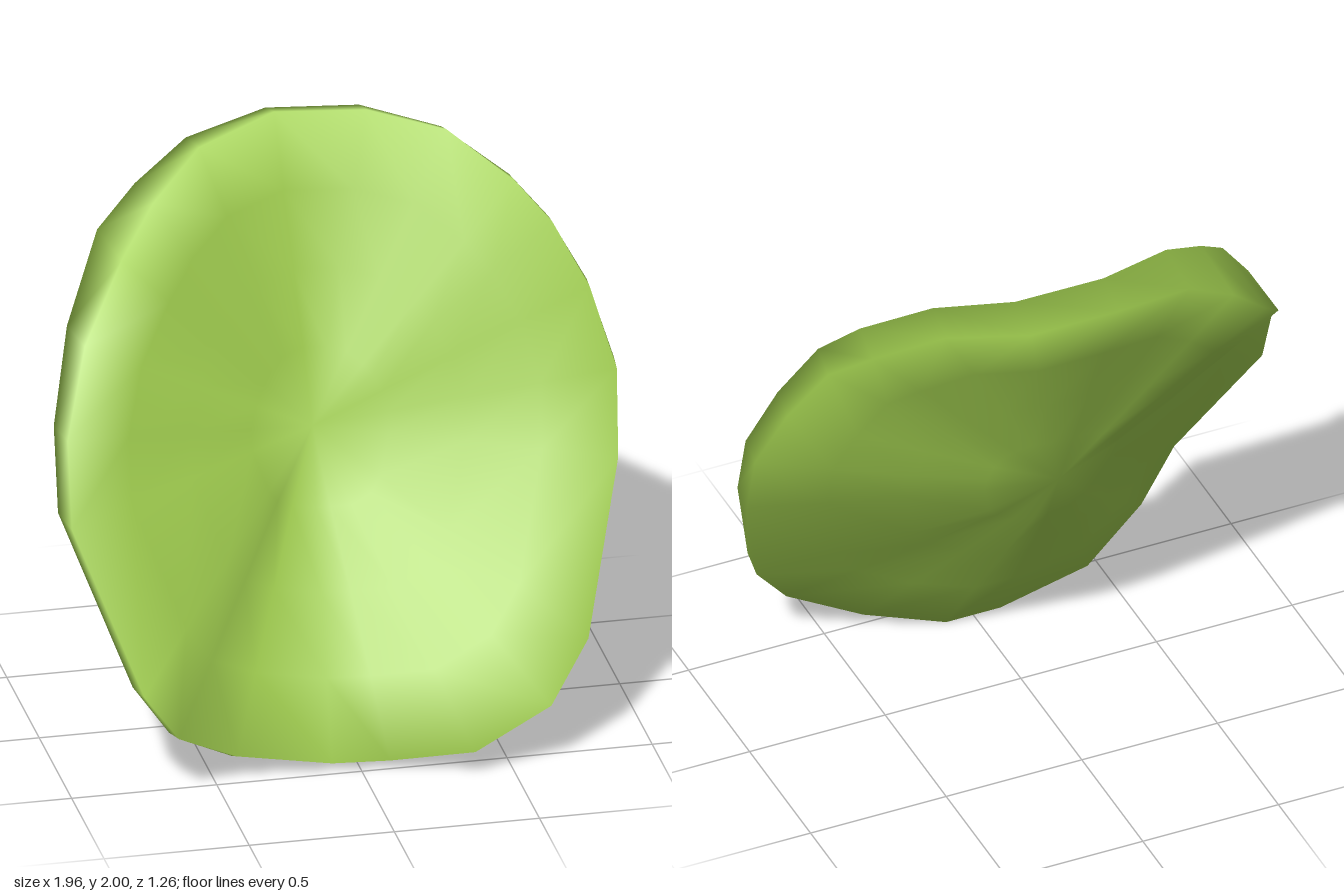
import * as THREE from 'three';

// Rim stations, anticlockwise from the bottom: x, y, front z, back z
const RIM = [
  [-0.1, 0, 0.48, 0.39], [0.1, 0, 0.5, 0.39], [0.37, 0.06, 0.62, 0.47], [0.64, 0.2, 0.6, 0.5],
  [0.79, 0.4, 0.51, 0.41], [0.96, 0.94, 0.22, 0.11], [0.98, 1.22, 0.11, 0], [0.91, 1.48, 0, -0.11],
  [0.8, 1.69, -0.09, -0.2], [0.69, 1.81, -0.19, -0.32], [0.49, 1.945, -0.35, -0.47],
  [0.24, 1.985, -0.48, -0.62], [-0.08, 2, -0.5, -0.635], [-0.37, 1.95, -0.38, -0.56],
  [-0.56, 1.82, -0.25, -0.5], [-0.7, 1.68, -0.12, -0.45], [-0.86, 1.44, 0.02, -0.2],
  [-0.97, 1.2, 0.24, 0.09], [-0.98, 0.92, 0.35, 0.2], [-0.79, 0.39, 0.63, 0.5],
  [-0.66, 0.2, 0.59, 0.48], [-0.43, 0.06, 0.48, 0.41],
];
const N = RIM.length;
const CX = -0.03, CY = 1;
const RINGS = [0.25, 0.5, 0.75, 1];

// Depth of the back along the central fold, at height y
function spine(y) {
  return y < 0.9 ? 0.39 - (y / 0.9) * 0.6 : -0.21 - ((y - 0.9) / 1.1) * 0.425;
}

function createLeafGeometry() {
  const pos = [], idx = [];

  // One cupped sheet: a centre point and rings that widen to the rim
  function sheet(front) {
    const lift = front ? 0.12 : 0;
    const power = front ? 1 : 1.3;
    const base = pos.length / 3;
    pos.push(CX, CY, spine(CY) + lift);
    for (const t of RINGS) {
      for (const [rx, ry, zf, zb] of RIM) {
        // The rim slants with the tilt of the slab
        const edgeY = front ? ry + 0.03 * Math.max(0, 1 - ry) : ry - 0.045 * Math.max(0, ry - 1);
        const edgeX = front ? rx * 0.985 : rx;
        const x = CX + (edgeX - CX) * t, y = CY + (edgeY - CY) * t;
        const rise = (front ? zf : zb) - spine(edgeY) - lift;
        pos.push(x, y, spine(y) + lift + rise * Math.pow(t, power));
      }
    }
    const tri = (a, b, c) => (front ? idx.push(a, b, c) : idx.push(a, c, b));
    for (let i = 0; i < N; i++) {
      const j = (i + 1) % N;
      tri(base, base + 1 + i, base + 1 + j);
      for (let r = 0; r < RINGS.length - 1; r++) {
        const a = base + 1 + r * N, b = a + N;
        tri(a + i, b + i, b + j);
        tri(a + i, b + j, a + j);
      }
    }
    return base + 1 + (RINGS.length - 1) * N;
  }

  const f = sheet(true);
  const b = sheet(false);

  // Rim wall joining the two sheets
  for (let i = 0; i < N; i++) {
    const j = (i + 1) % N;
    idx.push(f + i, b + i, b + j, f + i, b + j, f + j);
  }

  const g = new THREE.BufferGeometry();
  g.setAttribute('position', new THREE.Float32BufferAttribute(pos, 3));
  g.setIndex(idx);
  g.computeVertexNormals();
  return g;
}

export function createModel() {
  const group = new THREE.Group();
  group.name = 'cuppedLeaf';
  const leafGreen = new THREE.MeshStandardMaterial({ color: 0xa2cf50 });
  leafGreen.name = 'leafGreen';
  const leaf = new THREE.Mesh(createLeafGeometry(), leafGreen);
  leaf.name = 'leaf';
  group.add(leaf);
  return group;
}
